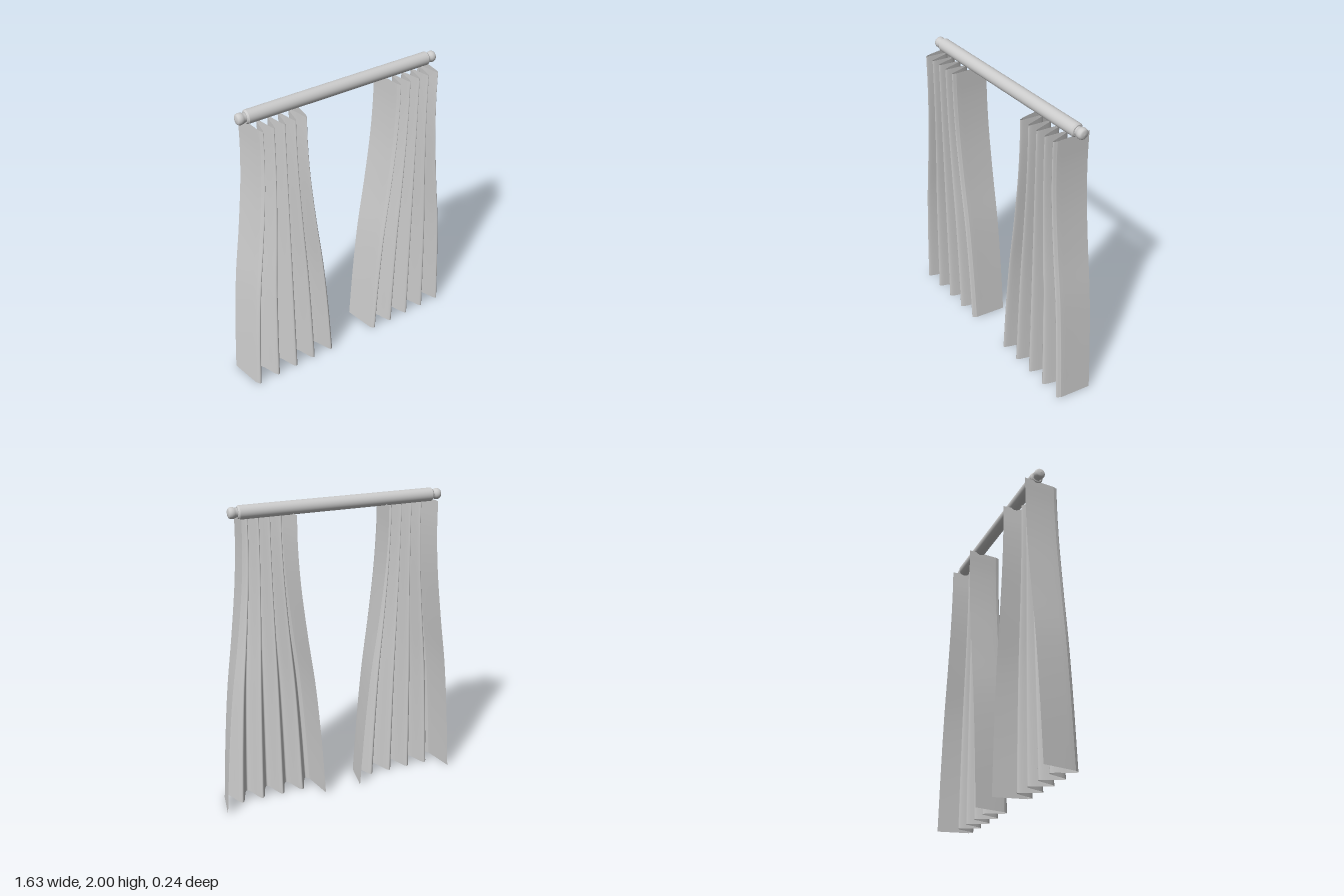
import * as THREE from 'three';

const V = (x, y, z = 0) => new THREE.Vector3(x, y, z);
const HEIGHT = 1.93, CENTRE = 0.471;

// Half width of a curtain at a given height, narrow at the rod and flared at the hem
const flare = new THREE.CatmullRomCurve3([
  V(0.344, 0), V(0.316, 0.4), V(0.278, 0.8), V(0.228, 1.16), V(0.188, 1.5), V(0.172, 1.75), V(0.17, HEIGHT),
]);

// Pleat line across the cloth: x is -1..1 of the half width, z is the depth
function pleatLine() {
  const front = 0.115, valley = -0.02, back = -0.12;
  const path = new THREE.CurvePath();
  const pts = [V(-0.89, 0, 0.09)];
  for (let i = 0; i < 9; i++) {
    pts.push(V(-0.82 + i * 0.205, 0, i % 2 ? valley : front));
  }
  pts.push(V(0.89, 0, 0.09));
  path.add(new THREE.LineCurve3(V(-1, 0, back), pts[0]));
  path.add(new THREE.CatmullRomCurve3(pts));
  path.add(new THREE.LineCurve3(pts[pts.length - 1], V(1, 0, back)));
  return path.curves.flatMap((c, i) => {
    const p = c.getPoints(i === 1 ? 120 : 6);
    return i ? p.slice(1) : p;
  });
}

// Cloth sheet lofted from the pleat line at each height
function curtainGeometry() {
  const line = pleatLine(), rows = 40, n = line.length;
  const positions = [], index = [];
  for (let r = 0; r <= rows; r++) {
    const f = flare.getPoint(r / rows);
    for (const p of line) positions.push(p.x * f.x, f.y, p.z);
  }
  for (let r = 0; r < rows; r++) {
    for (let i = 0; i < n - 1; i++) {
      const a = r * n + i, b = a + 1, c = a + n, d = c + 1;
      index.push(a, b, d, a, d, c);
    }
  }
  const g = new THREE.BufferGeometry();
  g.setAttribute('position', new THREE.Float32BufferAttribute(positions, 3));
  g.setIndex(index);
  g.computeVertexNormals();
  return g;
}

export function createModel() {
  const group = new THREE.Group();
  const metal = new THREE.MeshStandardMaterial({ color: 0xcccccc });
  const cloth = new THREE.MeshStandardMaterial({ color: 0xcccccc, side: THREE.DoubleSide });
  const add = (name, geometry, material, x, y, z) => {
    const mesh = new THREE.Mesh(geometry, material);
    mesh.name = name;
    mesh.position.set(x, y, z);
    group.add(mesh);
    return mesh;
  };

  // Rod with slightly bevelled ends
  const rodProfile = [[0, -0.64], [0.034, -0.64], [0.034, -0.64], [0.042, -0.63], [0.042, -0.63],
    [0.042, 0.63], [0.042, 0.63], [0.034, 0.64], [0.034, 0.64], [0, 0.64]];
  const rod = new THREE.LatheGeometry(rodProfile.map(p => new THREE.Vector2(...p)), 40);
  rod.rotateZ(-Math.PI / 2);
  add('rod', rod, metal, 0, 1.958, -0.035);

  // Rounded finial widening outwards from a neck
  const finialProfile = new THREE.SplineCurve([[0.027, 0], [0.029, 0.015], [0.034, 0.03],
    [0.034, 0.045], [0.026, 0.058], [0, 0.064]].map(p => new THREE.Vector2(...p)));
  const finial = new THREE.LatheGeometry(finialProfile.getPoints(24), 32);
  finial.rotateZ(-Math.PI / 2);

  const curtain = curtainGeometry();
  for (const [side, s] of [['left', 1], ['right', -1]]) {
    add(side + 'Finial', finial, metal, s * 0.635, 1.958, -0.035).rotation.y = s > 0 ? 0 : Math.PI;
    add(side + 'Curtain', curtain, cloth, s * CENTRE, 0, 0);
  }
  return group;
}
